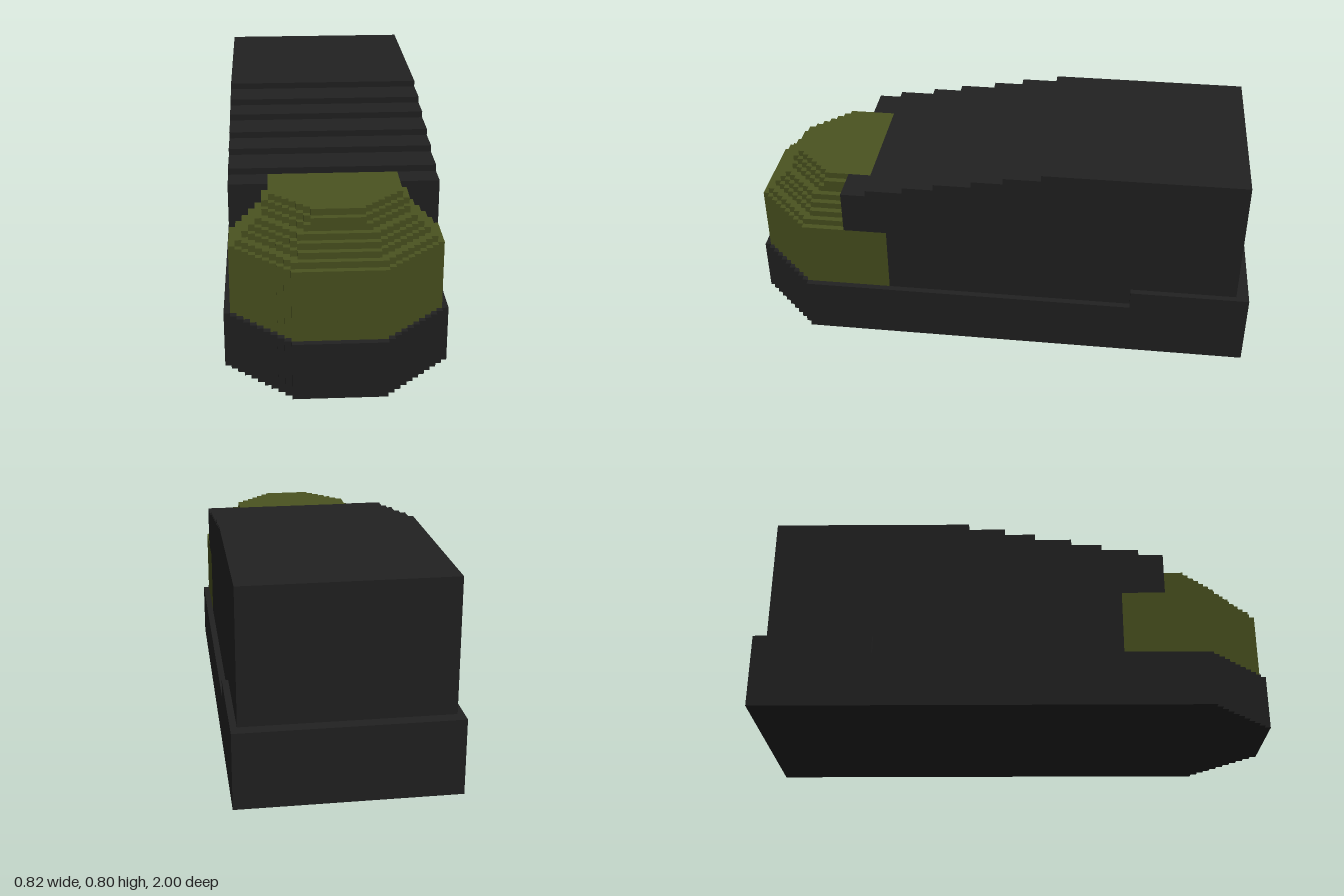
import * as THREE from 'three';

// All sizes are in voxels; rows are counted from the toe backwards.
const U = 2 / 83;
const ROWS = 83;

export function createModel() {
  const group = new THREE.Group();
  const black = new THREE.MeshStandardMaterial({ color: 0x222222 });
  black.name = 'black';
  const olive = new THREE.MeshStandardMaterial({ color: 0x4b5320 });
  olive.name = 'olive green';

  function add(name, geometry, material) {
    const mesh = new THREE.Mesh(geometry.scale(U, U, U), material);
    mesh.name = name;
    group.add(mesh);
  }

  function addBox(name, x0, x1, y0, y1, row0, row1, material) {
    const g = new THREE.BoxGeometry(x1 - x0, y1 - y0, row1 - row0);
    g.translate((x0 + x1) / 2, (y0 + y1) / 2, ROWS / 2 - (row0 + row1) / 2);
    add(name, g, material);
  }

  // Slab with a nose that widens one voxel per row until it is full width
  function addNose(name, front, frontHalf, fullHalf, back, y0, y1, material) {
    const right = [];
    let row = front;
    for (let half = frontHalf; half < fullHalf; half++, row++) {
      right.push([half, row], [half, row + 1]);
    }
    right.push([fullHalf, row], [fullHalf, back]);
    const left = right.map(([x, r]) => [-x, r]).reverse();
    const points = [...right, ...left].map(([x, r]) => new THREE.Vector2(x, r - ROWS / 2));
    const g = new THREE.ExtrudeGeometry(new THREE.Shape(points), { depth: y1 - y0, bevelEnabled: false });
    g.rotateX(-Math.PI / 2).translate(0, y0, 0);
    add(name, g, material);
  }

  // Sole and raised heel
  addNose('sole', 0, 7, 17, ROWS, 0, 9, black);
  addBox('heel', -17, 17, 9, 12, 64, ROWS, black);

  // Upper: side profile with a stepped instep, extruded across the width
  const profile = [[81, 9], [24, 9], [24, 20], [21, 20], [21, 27]];
  let top = 27;
  for (const row of [21, 27, 32, 38, 43, 49]) {
    if (row > 21) profile.push([row, top]);
    profile.push([row, ++top]);
  }
  profile.push([81, top]);
  const shape = new THREE.Shape(profile.map(([r, y]) => new THREE.Vector2(ROWS / 2 - r, y)));
  const upper = new THREE.ExtrudeGeometry(shape, { depth: 32, bevelEnabled: false });
  upper.rotateY(-Math.PI / 2).translate(16, 0, 0);
  add('upper', upper, black);

  // Blocks flanking the tongue of the toe cap
  addBox('upperLeftBlock', 10, 16, 20, 27, 17, 21, black);
  addBox('upperRightBlock', -16, -10, 20, 27, 17, 21, black);

  // Toe cap: tall base, then shrinking layers [front row, front half, full half]
  addNose('toeCapBase', 1, 7, 16, 24, 9, 20, olive);
  const layers = [[2, 7, 15], [3, 6, 14], [4, 6, 13], [5, 6, 12], [6, 5, 11], [6, 4, 11], [7, 4, 10]];
  layers.forEach(([front, frontHalf, fullHalf], i) => {
    const back = i === layers.length - 1 ? 21 : 17;
    addNose('toeCapLayer' + (i + 1), front, frontHalf, fullHalf, back, 20 + i, 21 + i, olive);
  });

  return group;
}
